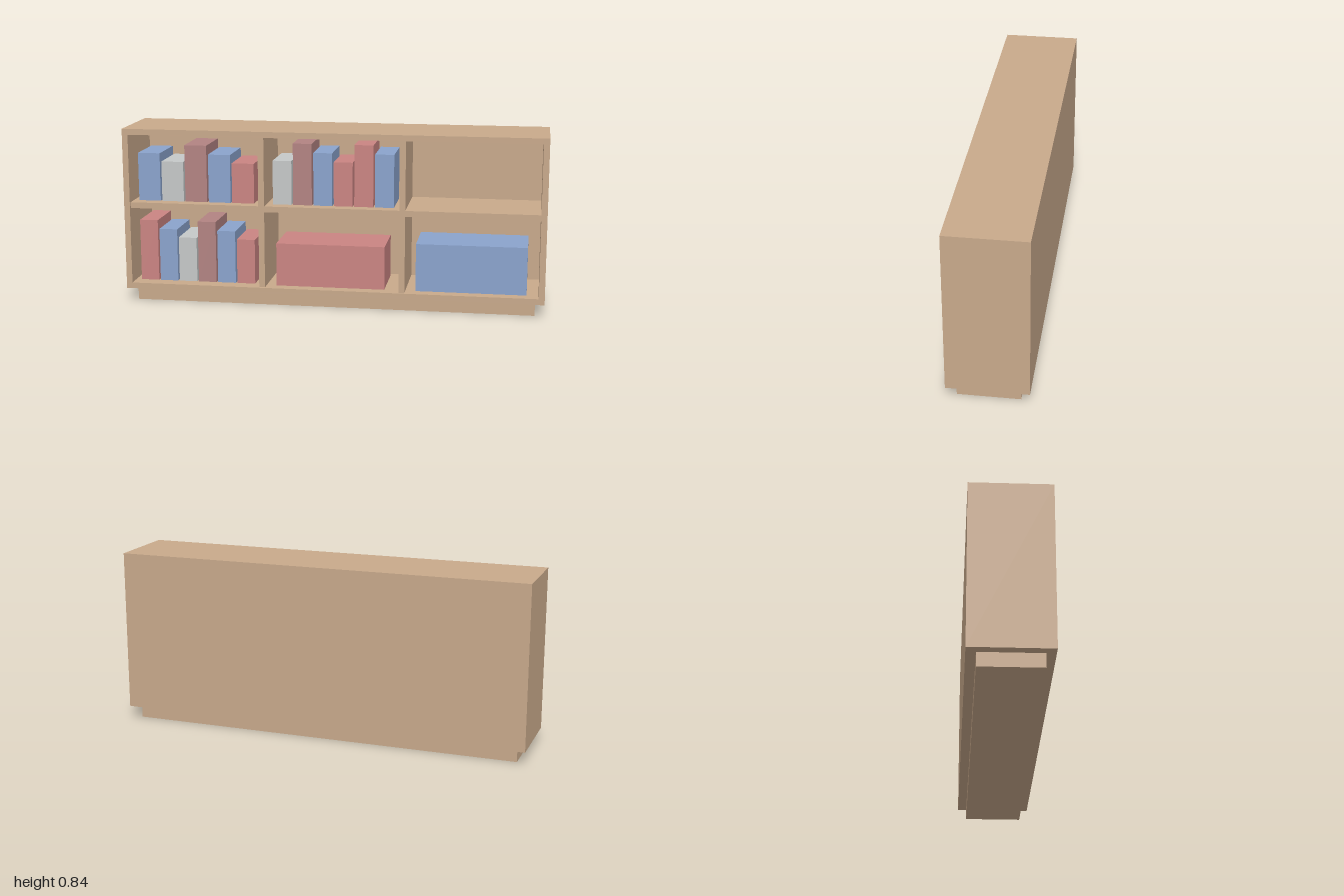
import * as THREE from 'three';

const paint = (name, color) => {
  const m = new THREE.MeshStandardMaterial({ color });
  m.name = name;
  return m;
};

export function createModel() {
  const wood = paint('wood', 0xc8a98b);
  const blue = paint('blue', 0x8aa3cc);
  const red = paint('red', 0xca8482);
  const grey = paint('grey', 0xc5c8c8);
  const maroon = paint('maroon', 0xb28382);

  const model = new THREE.Group();
  model.name = 'bookcase';

  // Box given by its two limits on each axis
  const block = (parent, name, mat, [x0, x1], [y0, y1], [z0, z1]) => {
    const mesh = new THREE.Mesh(new THREE.BoxGeometry(x1 - x0, y1 - y0, z1 - z0), mat);
    mesh.position.set((x0 + x1) / 2, (y0 + y1) / 2, (z0 + z1) / 2);
    mesh.name = name;
    parent.add(mesh);
  };

  const bottom = 0.065, top = 0.843, t = 0.028, depth = 0.185;
  const floorY = bottom + t, shelfY = 0.487;
  const full = [-depth, depth];
  const inner = [-0.167, 0.172];

  // Carcass
  block(model, 'plinth', wood, [-0.956, 0.956], [0, bottom], [-0.142, 0.142]);
  block(model, 'bottomPanel', wood, [-1 + t, 1 - t], [bottom, floorY], full);
  block(model, 'topPanel', wood, [-1 + t, 1 - t], [top - t, top], full);
  block(model, 'rightSide', wood, [-1, -1 + t], [bottom, top], full);
  block(model, 'leftSide', wood, [1 - t, 1], [bottom, top], full);
  block(model, 'backPanel', wood, [-1 + t, 1 - t], [floorY, top - t], [-depth, inner[0]]);

  // Shelf and dividers, set back slightly from the front edge
  block(model, 'shelf', wood, [-1 + t, 1 - t], [shelfY - t, shelfY], inner);
  for (const x of [-0.334, 0.334]) {
    block(model, 'lowerDivider', wood, [x - t / 2, x + t / 2], [floorY, shelfY - t], inner);
    block(model, 'upperDivider', wood, [x - t / 2, x + t / 2], [shelfY, top - t], inner);
  }

  // Rows of books: [material, height]
  const bookRow = (name, x, y, pitch, width, books) => {
    const row = new THREE.Group();
    row.name = name;
    books.forEach(([mat, h], i) => {
      const x0 = x + i * pitch;
      block(row, 'book', mat, [x0, x0 + width], [y, y + h], [-0.115, 0.115]);
    });
    model.add(row);
  };
  bookRow('upperRightBooks', -0.946, shelfY, 0.1147, 0.107,
    [[blue, 0.231], [grey, 0.192], [maroon, 0.273], [blue, 0.231], [red, 0.192]]);
  bookRow('upperMiddleBooks', -0.289, shelfY, 0.0975, 0.09,
    [[grey, 0.21], [maroon, 0.294], [blue, 0.252], [red, 0.21], [red, 0.294], [blue, 0.252]]);
  bookRow('lowerRightBooks', -0.946, floorY, 0.0956, 0.088,
    [[red, 0.297], [blue, 0.255], [grey, 0.216], [maroon, 0.297], [blue, 0.255], [red, 0.216]]);

  // Storage boxes
  block(model, 'redBox', red, [-0.272, 0.248], [floorY, 0.3], [-0.13, 0.13]);
  block(model, 'blueBox', blue, [0.396, 0.916], [floorY, 0.321], [-0.13, 0.13]);

  return model;
}
